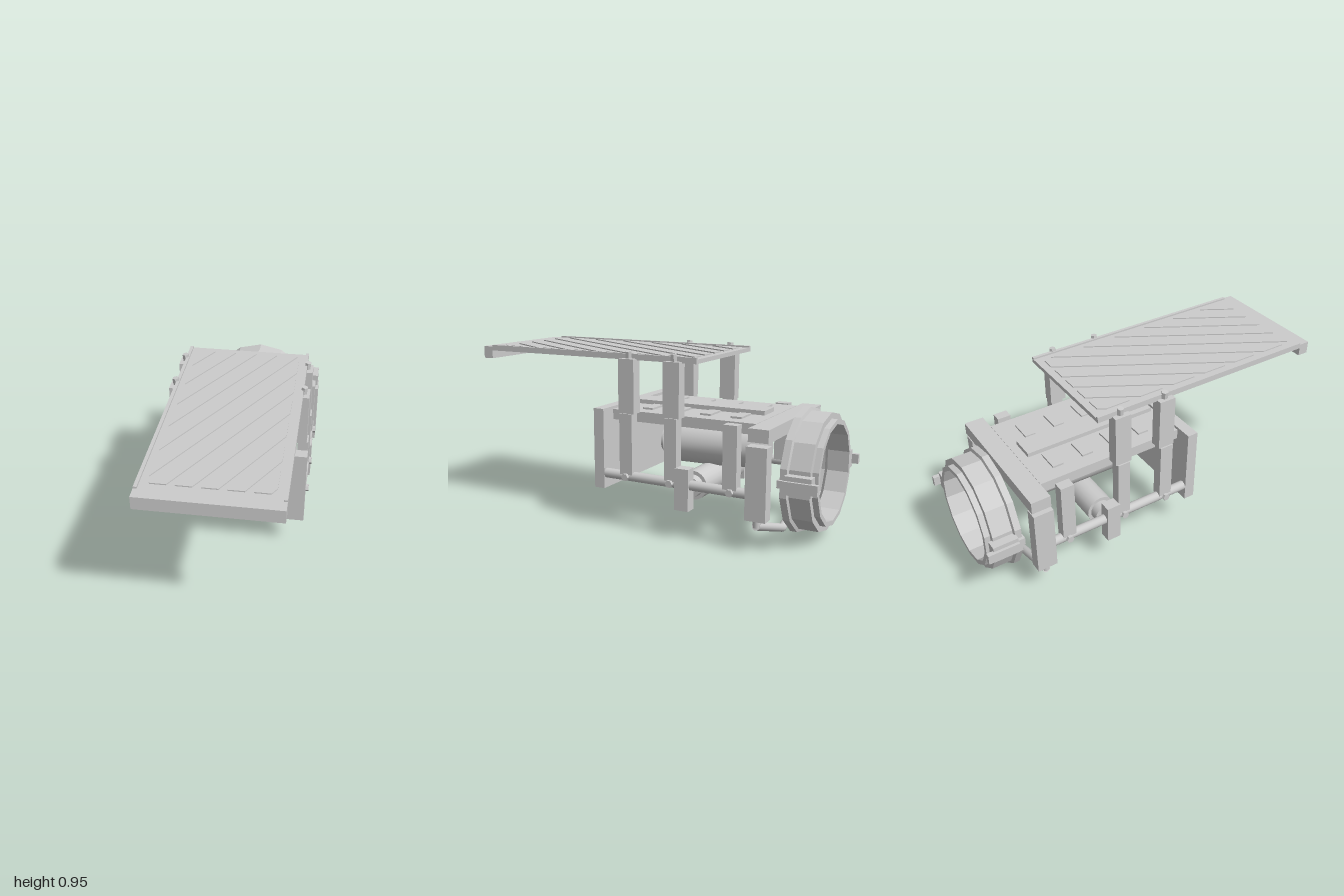
import * as THREE from 'three';
import { toCreasedNormals } from 'three/addons/utils/BufferGeometryUtils.js';

export function createModel() {
  const model = new THREE.Group();
  const grey = new THREE.MeshStandardMaterial({ color: 0xcccccc });

  const add = (name, geo) => {
    const m = new THREE.Mesh(geo, grey);
    m.name = name;
    model.add(m);
    return m;
  };
  // box from its limits on each axis
  const box = (name, x0, x1, y0, y1, z0, z1) => {
    const m = add(name, new THREE.BoxGeometry(Math.abs(x1 - x0), y1 - y0, z1 - z0));
    m.position.set((x0 + x1) / 2, (y0 + y1) / 2, (z0 + z1) / 2);
    return m;
  };
  const pair = (name, x0, x1, ...rest) => {
    for (const s of [-1, 1]) box(name, s * x0, s * x1, ...rest);
  };
  // cylinder between two points
  const rod = (name, a, b, r, sides = 16) => {
    const p = new THREE.Vector3(...a), q = new THREE.Vector3(...b);
    const d = q.clone().sub(p);
    const g = new THREE.CylinderGeometry(r, r, d.length(), sides);
    const m = add(name, sides < 8 ? toCreasedNormals(g, 0.3) : g);
    m.position.copy(p).add(q).multiplyScalar(0.5);
    m.quaternion.setFromUnitVectors(new THREE.Vector3(0, 1, 0), d.normalize());
    return m;
  };
  // turned part along z, profile given as [radius, z] with rising z outside
  const turned = (name, profile, sides, crease, y) => {
    const pts = profile.map(([r, z]) => new THREE.Vector2(r, z));
    const g = new THREE.LatheGeometry(pts, sides).rotateX(Math.PI / 2);
    add(name, toCreasedNormals(g, crease)).position.y = y;
  };

  // front plate with door and knobs
  box('frontPlate', -0.38, 0.38, 0.22, 0.65, 0.16, 0.22);
  box('frontDoor', -0.275, 0.275, 0.283, 0.597, 0.22, 0.243);
  for (const s of [-1, 1]) rod('doorKnob', [s * 0.247, 0.395, 0.24], [s * 0.247, 0.395, 0.275], 0.025, 6);

  // deck with centre strip and slats
  box('deck', -0.285, 0.285, 0.58, 0.635, -0.66, 0.16);
  box('deckStrip', -0.065, 0.065, 0.635, 0.658, -0.615, 0.14);
  for (const z of [-0.52, -0.35, -0.18, -0.01]) pair('deckSlat', 0.09, 0.21, 0.635, 0.645, z - 0.03, z + 0.03);
  box('rearBeam', -0.385, 0.385, 0.567, 0.633, -0.765, -0.66);

  // side posts
  pair('frontPost', 0.32, 0.375, 0.31, 0.635, -0.01, 0.065);
  pair('middlePost', 0.32, 0.375, 0.3, 0.635, -0.27, -0.2);
  pair('backPost', 0.32, 0.375, 0.31, 0.635, -0.6, -0.525);
  pair('postFoot', 0.322, 0.385, 0.168, 0.387, -0.343, -0.265);
  pair('rearPost', 0.325, 0.39, 0.178, 0.545, -0.76, -0.652);
  pair('canopyPost', 0.305, 0.367, 0.635, 0.918, -0.018, 0.074);
  pair('canopyPost', 0.305, 0.367, 0.635, 0.918, -0.28, -0.188);

  // lower rails, bolts and rear brace
  for (const s of [-1, 1]) {
    rod('lowerRail', [s * 0.352, 0.3, 0.17], [s * 0.352, 0.3, -0.66], 0.026);
    for (const z of [0.027, -0.235, -0.568]) rod('sideBolt', [s * 0.35, 0.3, z], [s * 0.392, 0.3, z], 0.02, 6);
    for (const z of [0.027, -0.235]) rod('topBolt', [s * 0.335, 0.91, z], [s * 0.34, 0.955, z], 0.018, 6);
    rod('rearBrace', [s * 0.365, 0.15, -0.705], [0, 0.03, -0.705], 0.022);
    rod('braceMount', [s * 0.355, 0.14, -0.705], [s * 0.355, 0.18, -0.705], 0.02);
  }

  // canopy panel with front lip, side rims and diagonal ribs
  box('canopyPanel', -0.335, 0.335, 0.911, 0.933, -0.36, 0.94);
  box('canopyLip', -0.335, 0.335, 0.866, 0.933, 0.94, 1.0);
  pair('canopyRim', 0.318, 0.335, 0.933, 0.942, -0.36, 0.94);
  const nx = 0.87, nz = 0.5;
  // keep the part of a polygon where f >= 0
  const clip = (poly, f) => poly.flatMap((p, i) => {
    const q = poly[(i + 1) % poly.length], a = f(p), b = f(q);
    const out = a >= 0 ? [p] : [];
    if (a * b < 0) out.push(p.clone().lerp(q, a / (a - b)));
    return out;
  });
  for (let i = 0; i < 11; i++) {
    const c = (i - 5) * 0.1;
    let poly = [[-0.285, -0.61], [0.285, -0.61], [0.285, 0.61], [-0.285, 0.61]].map((p) => new THREE.Vector2(...p));
    poly = clip(poly, (p) => p.x * nx - p.y * nz - c + 0.033);
    poly = clip(poly, (p) => c + 0.033 - p.x * nx + p.y * nz);
    if (poly.length < 3) continue;
    const g = new THREE.ExtrudeGeometry(new THREE.Shape(poly), { depth: 0.007, bevelEnabled: false });
    add('canopyRib', g.rotateX(-Math.PI / 2)).position.set(0, 0.932, 0.29);
  }

  // engine along the middle and cross tank below
  turned('engine', [[0, -0.61], [0.085, -0.61], [0.085, -0.6], [0.1, -0.6], [0.1, -0.44], [0.113, -0.44],
    [0.113, -0.405], [0.108, -0.405], [0.112, -0.1], [0.085, -0.1], [0.11, -0.045], [0.07, -0.04], [0.07, -0.01], [0, -0.01]], 24, 0.5, 0.435);
  rod('engineCap', [0, 0.52, -0.365], [0, 0.585, -0.365], 0.036);
  rod('crossTank', [-0.245, 0.268, -0.303], [0.245, 0.268, -0.303], 0.077, 20);
  rod('crossTankEnds', [-0.295, 0.268, -0.303], [0.295, 0.268, -0.303], 0.058, 20);

  // rear ring with side clamps
  turned('rearRing', [[0.25, -0.975], [0.275, -0.975], [0.275, -0.945], [0.307, -0.945], [0.307, -0.84], [0.325, -0.835],
    [0.325, -0.8], [0.275, -0.8], [0.275, -0.84], [0.25, -0.86], [0.25, -0.975]], 14, 0.35, 0.365);
  pair('ringClamp', 0.29, 0.345, 0.32, 0.413, -0.965, -0.83);
  pair('clampPlate', 0.335, 0.36, 0.338, 0.39, -1.0, -0.83);
  pair('clampHook', 0.3, 0.333, 0.345, 0.383, -0.84, -0.79);

  return model;
}
